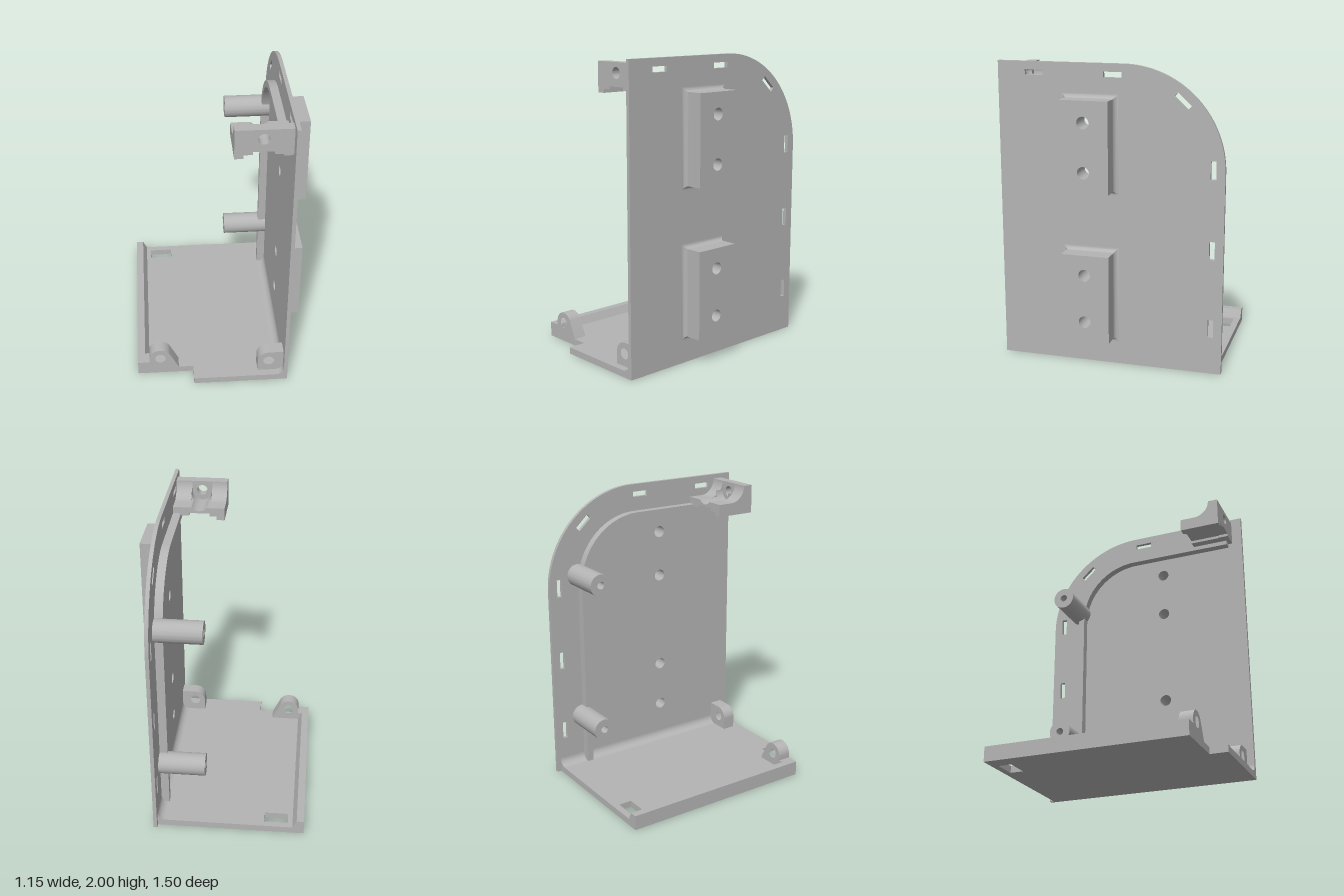
import * as THREE from 'three';
import { toCreasedNormals } from 'three/addons/utils/BufferGeometryUtils.js';

const grey = new THREE.MeshStandardMaterial({ color: 0xb4b4b4 });
grey.name = 'plain grey';

const poly = (pts) => new THREE.Shape(pts.map(([a, b]) => new THREE.Vector2(a, b)));
const round = (shape, a, b, r) => shape.holes.push(new THREE.Path().absarc(a, b, r, 0, Math.PI * 2, true));

// Rectangular hole, optionally rotated
function slot(shape, a, b, w, h, angle = 0) {
  const c = Math.cos(angle), s = Math.sin(angle);
  shape.holes.push(new THREE.Path([[-1, -1], [-1, 1], [1, 1], [1, -1]].map(([i, j]) => {
    const p = i * w / 2, q = j * h / 2;
    return new THREE.Vector2(a + p * c - q * s, b + p * s + q * c);
  })));
}

function extrude(shape, depth) {
  const g = new THREE.ExtrudeGeometry(shape, { depth, bevelEnabled: false, curveSegments: 32 });
  return toCreasedNormals(g, 0.5);
}
// Shape in (x, y), swept along z
const alongZ = (shape, z0, z1) => extrude(shape, z1 - z0).translate(0, 0, z0);
// Shape in (-z, y), swept along x
const alongX = (shape, x0, x1) => extrude(shape, x1 - x0).rotateY(Math.PI / 2).translate(x0, 0, 0);
// Shape in (x, -z), swept along y
const alongY = (shape, y0, y1) => extrude(shape, y1 - y0).rotateX(-Math.PI / 2).translate(0, y0, 0);

// Concave flare around the foot of a boss, mitred at the corners
function flare(z0, z1, y0, y1, x, r) {
  const rings = [], pos = [];
  for (let i = 0; i <= 8; i++) {
    const t = i / 8 * Math.PI / 2, o = r * (1 - Math.sin(t)), px = x + r * (1 - Math.cos(t));
    rings.push([[px, y0 - o, z1 + o], [px, y0 - o, z0 - o], [px, y1 + o, z0 - o], [px, y1 + o, z1 + o]]);
  }
  for (let i = 0; i < 8; i++) for (let k = 0; k < 4; k++) {
    const n = (k + 1) % 4;
    const [a, b, c, d] = [rings[i][k], rings[i][n], rings[i + 1][n], rings[i + 1][k]];
    pos.push(...a, ...b, ...c, ...a, ...c, ...d);
  }
  const g = new THREE.BufferGeometry();
  g.setAttribute('position', new THREE.Float32BufferAttribute(pos, 3));
  return toCreasedNormals(g, 0.5);
}

export function createModel() {
  const model = new THREE.Group();
  model.name = 'sidePanelBracket';
  const add = (name, geometry, parent = model) => {
    const m = new THREE.Mesh(geometry, grey);
    m.name = name;
    parent.add(m);
  };
  const IN = 0.415, OUT = 0.44;
  const screwY = [0.32, 0.64, 1.32, 1.64];

  // Upright plate with rounded back corner, slots and screw holes
  const plate = new THREE.Shape();
  plate.moveTo(-0.75, 0);
  plate.lineTo(0.75, 0);
  plate.lineTo(0.75, 1.34);
  plate.absellipse(0.09, 1.34, 0.66, 0.66, 0, Math.PI / 2, false);
  plate.lineTo(-0.75, 2);
  for (const u of [-0.505, 0.02]) slot(plate, u, 1.93, 0.12, 0.036);
  slot(plate, 0.475, 1.782, 0.12, 0.036, -0.75);
  for (const y of [0.31, 0.835, 1.355]) slot(plate, 0.675, y, 0.036, 0.12);
  for (const y of screwY) round(plate, -0.135, y, 0.04);
  add('sidePlate', alongX(plate, IN, OUT));

  // Outer mounting bosses
  for (const [y0, y1] of [[0.185, 0.775], [1.185, 1.78]]) {
    const boss = poly([[-0.29, y0], [0.03, y0], [0.03, y1], [-0.29, y1]]);
    for (const y of screwY) if (y > y0 && y < y1) round(boss, -0.135, y, 0.04);
    const g = new THREE.Group();
    g.name = 'mountingBoss';
    add('bossBlock', alongX(boss, OUT, 0.575), g);
    add('bossFlare', flare(-0.03, 0.29, y0, y1, OUT, 0.03), g);
    model.add(g);
  }

  // Inner rib following the back and top of the plate
  const rib = new THREE.Shape();
  rib.moveTo(-0.65, 1.815);
  rib.lineTo(0.08, 1.815);
  rib.absarc(0.08, 1.365, 0.45, Math.PI / 2, 0, true);
  rib.lineTo(0.53, 0.04);
  rib.lineTo(0.485, 0.04);
  rib.lineTo(0.485, 1.365);
  rib.absarc(0.08, 1.365, 0.405, 0, Math.PI / 2, false);
  rib.lineTo(-0.65, 1.77);
  add('innerRib', alongX(rib, 0.36, IN));

  // Hollow posts
  for (const y of [0.395, 1.43]) {
    const post = new THREE.Shape().absarc(0.535, y, 0.076, 0, Math.PI * 2, false);
    round(post, 0.535, y, 0.026);
    add('post', alongX(post, 0.1, IN));
  }

  // Floor with front step and slot
  const floor = poly([[-0.58, -0.63], [-0.2, -0.63], [-0.2, -0.75], [IN, -0.75], [IN, 0.72], [-0.58, 0.72]]);
  slot(floor, -0.39, 0.63, 0.16, 0.09);
  add('floor', alongY(floor, 0, 0.045));

  // Rounded inside corner between floor and plate
  const fillet = new THREE.Shape();
  fillet.moveTo(IN, 0.045);
  fillet.lineTo(IN, 0.1);
  fillet.absarc(0.36, 0.1, 0.055, 0, -Math.PI / 2, true);
  add('cornerFillet', alongZ(fillet, -0.72, 0.75));

  // Sloped lip on the free edge
  add('floorLip', alongZ(poly([[-0.58, 0.045], [-0.502, 0.045], [-0.53, 0.1], [-0.58, 0.1]]), -0.72, 0.54));

  // Front lugs
  const freeLug = new THREE.Shape();
  freeLug.moveTo(-0.58, 0.045);
  freeLug.lineTo(-0.58, 0.1);
  freeLug.lineTo(-0.5, 0.1);
  freeLug.lineTo(-0.5, 0.13);
  freeLug.absarc(-0.425, 0.13, 0.075, Math.PI, 0.46, true);
  freeLug.lineTo(-0.3, 0.045);
  round(freeLug, -0.425, 0.13, 0.036);
  add('freeLug', alongZ(freeLug, 0.54, 0.63));

  const plateLug = new THREE.Shape();
  plateLug.moveTo(0.24, 0.045);
  plateLug.lineTo(0.24, 0.13);
  plateLug.absarc(0.315, 0.13, 0.075, Math.PI, Math.PI / 2, true);
  plateLug.lineTo(IN, 0.205);
  plateLug.lineTo(IN, 0.045);
  round(plateLug, 0.315, 0.13, 0.036);
  add('plateLug', alongZ(plateLug, 0.61, 0.7));

  // Top bracket: drilled front wall with a stepped underside
  const bracket = new THREE.Group();
  bracket.name = 'topBracket';
  model.add(bracket);
  const wall = poly([[0.06, 1.775], [0.115, 1.775], [0.115, 1.8], [0.17, 1.8], [0.17, 1.82],
    [0.3, 1.82], [0.3, 1.8], [IN, 1.8], [IN, 1.97], [0.06, 1.97]]);
  round(wall, 0.235, 1.905, 0.036);
  add('bracketWall', alongZ(wall, 0.61, 0.678), bracket);

  // Curved shelf either side of the screw channel
  for (const [x0, x1, base] of [[0.06, 0.115, 1.775], [0.115, 0.165, 1.8], [0.305, IN, 1.8]]) {
    const shelf = new THREE.Shape();
    shelf.moveTo(-0.4, base);
    shelf.lineTo(-0.4, 1.86);
    shelf.lineTo(-0.5, 1.86);
    shelf.absarc(-0.5, 1.97, 0.11, -Math.PI / 2, -Math.PI, true);
    shelf.lineTo(-0.61, base);
    add('bracketShelf', alongX(shelf, x0, x1), bracket);
  }

  // Screw channel, opening wider close to the wall
  for (const [z0, z1, top] of [[0.4, 0.55, 1.86], [0.55, 0.61, 1.905]]) {
    const a = Math.asin((1.905 - top) / 0.07);
    const channel = new THREE.Shape();
    channel.moveTo(0.165, 1.82);
    channel.lineTo(0.165, top);
    channel.absarc(0.235, 1.905, 0.07, Math.PI + a, Math.PI * 2 - a, false);
    channel.lineTo(0.305, top);
    channel.lineTo(0.305, 1.82);
    add('screwChannel', alongZ(channel, z0, z1), bracket);
  }
  return model;
}
